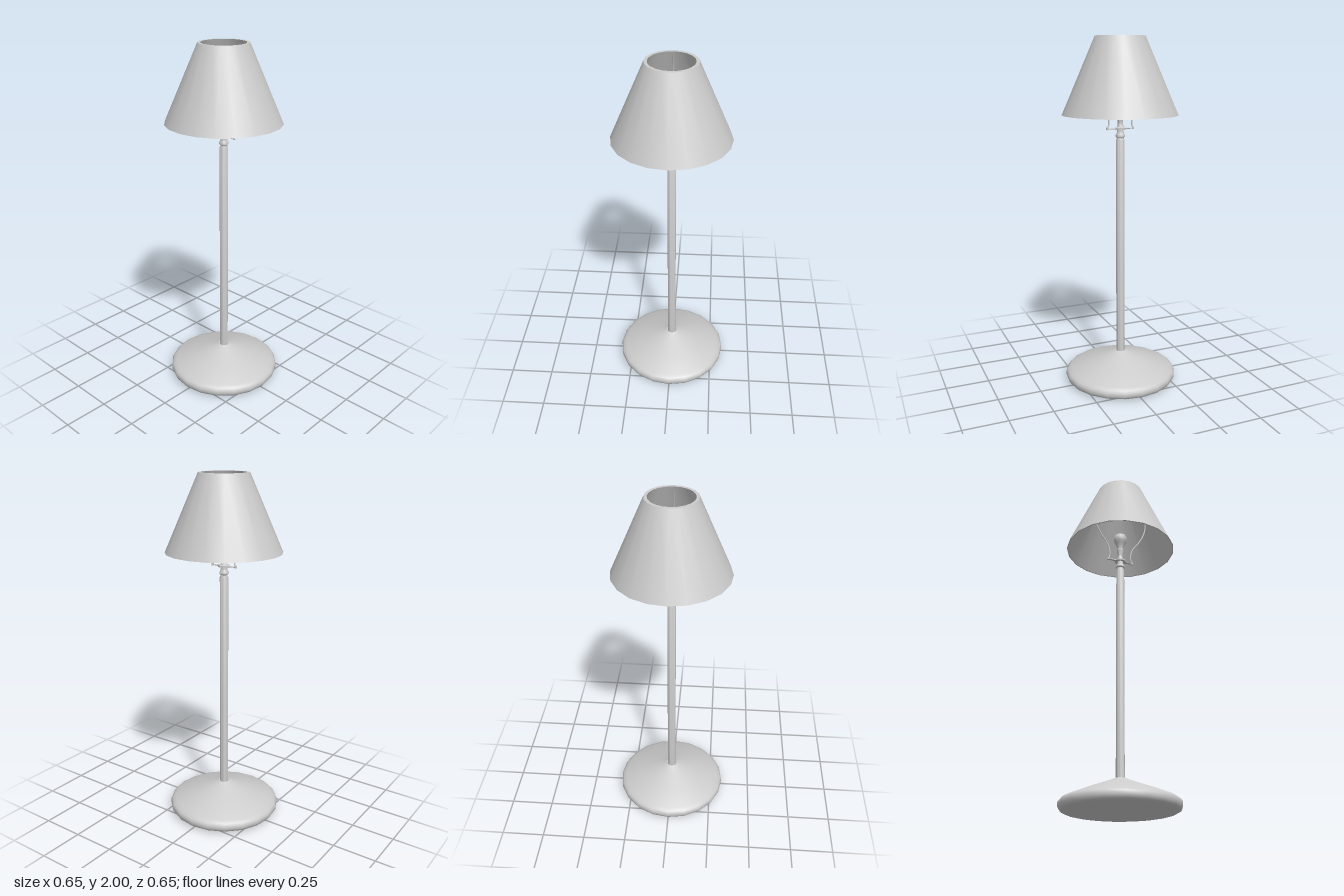
import * as THREE from 'three';
import { toCreasedNormals } from 'three/addons/utils/BufferGeometryUtils.js';

const material = new THREE.MeshStandardMaterial({ color: 0xcccccc, side: THREE.DoubleSide });

export function createModel() {
  const lamp = new THREE.Group();
  lamp.name = 'tableLamp';

  const add = (name, geometry, parent = lamp) => {
    const mesh = new THREE.Mesh(geometry, material);
    mesh.name = name;
    parent.add(mesh);
    return mesh;
  };

  // Turned part from [radius, height] pairs, listed bottom to top on the outside
  const turned = (name, profile, segments = 20) => {
    const points = profile.map(([r, y]) => new THREE.Vector2(r, y));
    return add(name, toCreasedNormals(new THREE.LatheGeometry(points, segments), 0.7));
  };

  // Weighted foot: slightly domed underside, rounded rim, sloping top with a small lip
  turned('base', [
    [0, 0], [0.07, 0.004], [0.305, 0.008], [0.317, 0.014], [0.325, 0.03], [0.324, 0.05],
    [0.315, 0.062], [0.295, 0.073], [0.2, 0.112], [0.1, 0.15], [0.06, 0.165],
    [0.04, 0.174], [0.032, 0.178], [0.022, 0.172],
  ]);

  // Straight pole with a grooved top
  turned('pole', [
    [0.024, 0.16], [0.024, 1.435], [0.02, 1.443], [0.02, 1.45], [0.026, 1.455],
    [0.026, 1.464], [0.021, 1.472], [0.018, 1.485], [0.018, 1.5],
  ]);

  // Socket: disc under a waisted holder
  turned('socket', [
    [0, 1.493], [0.033, 1.494], [0.033, 1.504], [0.02, 1.508], [0.015, 1.522],
    [0.015, 1.54], [0.02, 1.562], [0.021, 1.58], [0.017, 1.585],
  ]);

  // Pear-shaped bulb
  turned('bulb', [
    [0.017, 1.575], [0.019, 1.595], [0.028, 1.618], [0.037, 1.635], [0.0405, 1.652],
    [0.038, 1.668], [0.03, 1.681], [0.017, 1.69], [0, 1.693],
  ]);

  // Harp: a saddle arm, an end knob and a bowed wire on each side
  for (const [side, s] of [['left', 1], ['right', -1]]) {
    const half = new THREE.Group();
    half.name = side + 'Harp';
    lamp.add(half);

    const arm = add('saddleArm', new THREE.CylinderGeometry(0.005, 0.012, 0.06, 8), half);
    arm.rotation.z = -s * Math.PI / 2;
    arm.scale.x = 0.5;
    arm.position.set(s * 0.052, 1.499, 0);

    const knob = add('saddleKnob', new THREE.CylinderGeometry(0.007, 0.007, 0.014, 8), half);
    knob.position.set(s * 0.078, 1.5, 0);

    const path = new THREE.CatmullRomCurve3([
      [0.078, 1.5], [0.071, 1.515], [0.07, 1.56], [0.085, 1.605], [0.13, 1.67],
      [0.165, 1.75], [0.172, 1.82], [0.155, 1.92], [0.132, 1.985],
    ].map(([x, y]) => new THREE.Vector3(s * x, y, 0)));
    add('harpWire', new THREE.TubeGeometry(path, 32, 0.004, 8), half);
  }

  // Tapered shade: outer wall, flat top rim, inner wall meeting at the thin lower edge
  turned('shade', [
    [0.325, 1.575], [0.139, 2], [0.122, 2], [0.318, 1.575], [0.325, 1.575],
  ]);

  return lamp;
}
